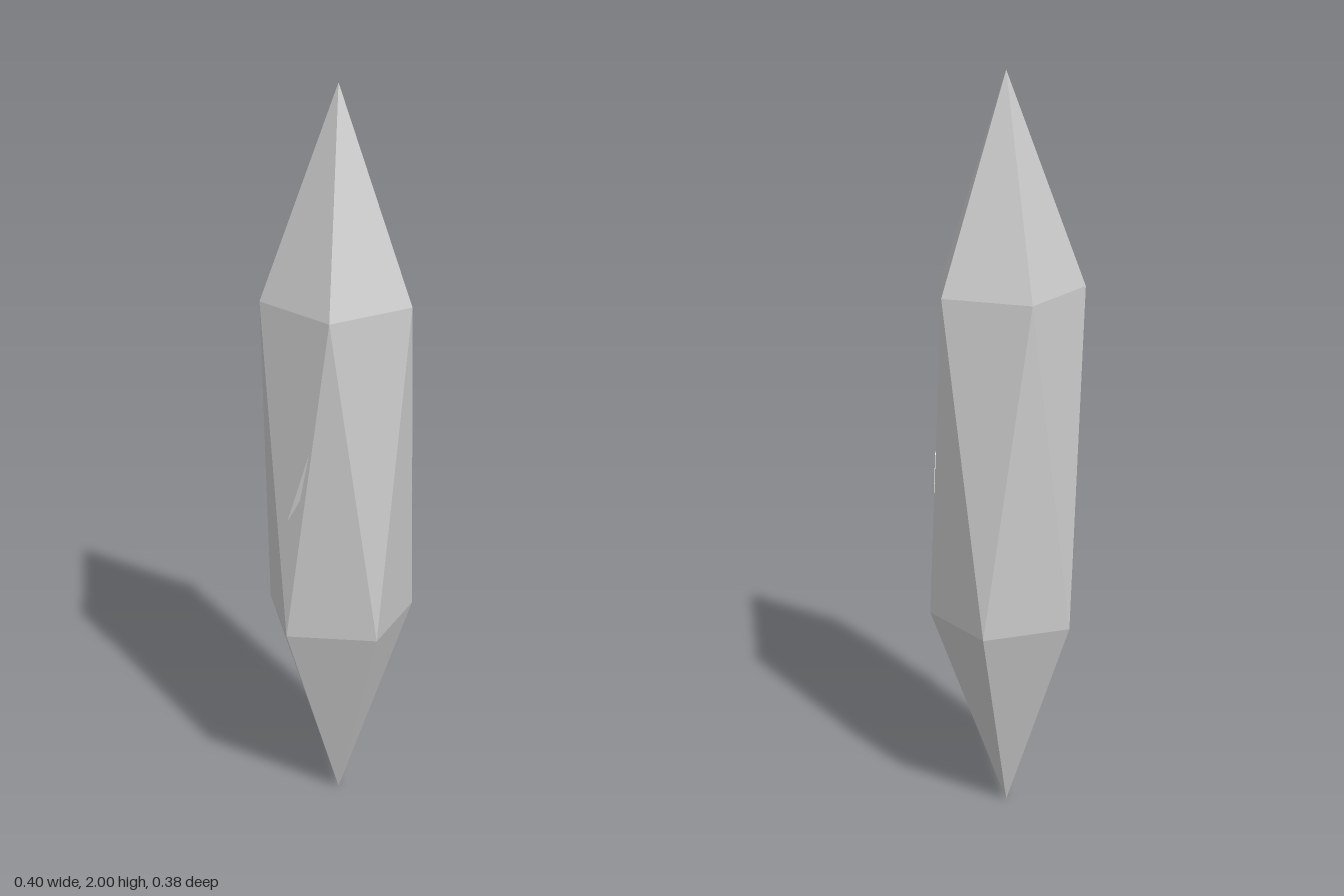
import * as THREE from 'three';

const material = new THREE.MeshStandardMaterial({ color: 0xcccccc, flatShading: true });

// Flat-shaded mesh from a list of corner triples
function facets(name, triangles) {
  const geometry = new THREE.BufferGeometry().setFromPoints(triangles.flat());
  geometry.computeVertexNormals();
  const mesh = new THREE.Mesh(geometry, material);
  mesh.name = name;
  return mesh;
}

// Five points around the vertical axis
function ring(y, radius, turn) {
  return Array.from({ length: 5 }, (_, i) => {
    const a = turn + (i * Math.PI * 2) / 5;
    return new THREE.Vector3(Math.cos(a) * radius, y, -Math.sin(a) * radius);
  });
}

// Thin four-cornered splinter, wound so every face points outward
function splinter(name, corners) {
  const p = corners.map((c) => new THREE.Vector3(...c));
  const centre = p.reduce((s, v) => s.add(v), new THREE.Vector3()).divideScalar(4);
  const faces = [[0, 1, 2], [0, 1, 3], [0, 2, 3], [1, 2, 3]].map((f) => {
    const [a, b, c] = f.map((i) => p[i]);
    const normal = b.clone().sub(a).cross(c.clone().sub(a));
    return normal.dot(a.clone().sub(centre)) > 0 ? [a, b, c] : [a, c, b];
  });
  return facets(name, faces);
}

export function createModel() {
  const model = new THREE.Group();
  model.name = 'crystal';

  // Stretched twenty-sided body: two points and two staggered rings
  const top = new THREE.Vector3(0, 2, 0);
  const bottom = new THREE.Vector3(0, 0, 0);
  const upper = ring(1.45, 0.202, 0);
  const lower = ring(0.555, 0.202, Math.PI / 5);
  const cap = [], sides = [], base = [];
  for (let i = 0; i < 5; i++) {
    const j = (i + 1) % 5;
    cap.push([top, upper[i], upper[j]]);
    sides.push([upper[i], lower[i], upper[j]], [lower[i], lower[j], upper[j]]);
    base.push([bottom, lower[j], lower[i]]);
  }
  model.add(facets('upperPoint', cap), facets('crystalSides', sides), facets('lowerPoint', base));

  // Small splinters breaking through the sides; the last corner is buried
  model.add(
    splinter('leftSplinter', [[0.13, 1.0, 0.135], [0.164, 0.9, 0.095], [0.16, 0.885, 0.118], [0.13, 0.92, 0.09]]),
    splinter('rightSplinter', [[-0.147, 1.115, 0.113], [-0.178, 1.1, 0.066], [-0.2, 0.89, 0.005], [-0.15, 0.97, 0.05]])
  );
  return model;
}
